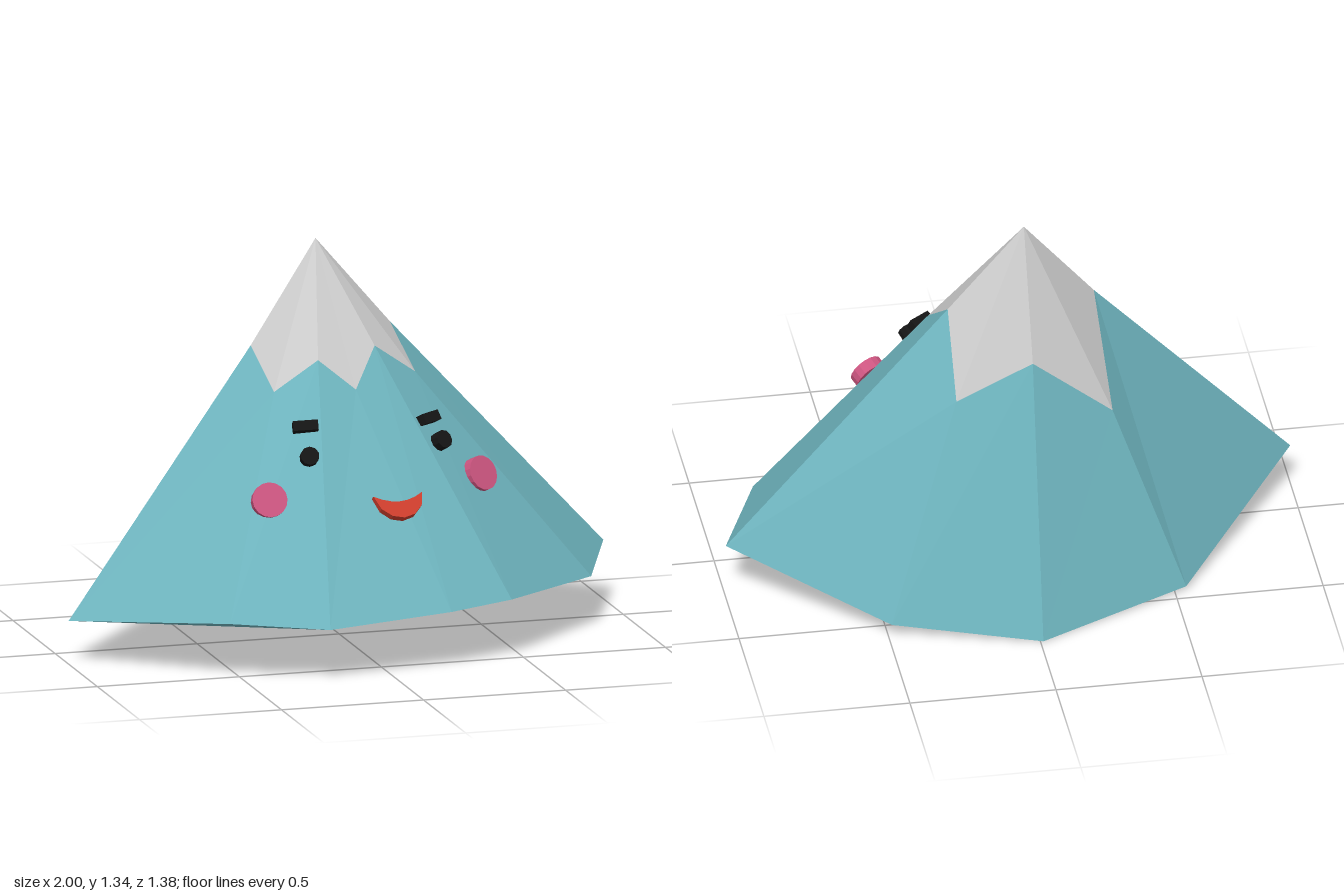
import * as THREE from 'three';

const mat = (color) => new THREE.MeshStandardMaterial({ color, flatShading: true });

// Peak, snow line and foot of the mountain, clockwise from the back as seen from above
const PEAK = [-0.03, 1.335, -0.18];
const SNOW = [
  [-0.03, 0.9, -0.36], [0.23, 0.77, -0.35], [0.23, 1.03, -0.175], [0.265, 0.895, 0.01], [0.11, 1.005, 0.05],
  [0.01, 0.885, 0.165], [-0.11, 0.985, 0.12], [-0.265, 0.885, 0.12], [-0.285, 1.0, -0.09], [-0.31, 0.66, -0.32],
];
const FOOT = [
  [-0.01, 0, -0.69], [0.49, 0.05, -0.58], [1, 0.205, -0.235], [0.84, 0.18, 0.16], [0.45, 0.21, 0.53],
  [0.21, 0.205, 0.625], [-0.235, 0.187, 0.688], [-0.55, 0.2, 0.56], [-1, 0.15, 0.16], [-0.54, 0.015, -0.45],
];

function faceted(name, triangles, material) {
  const geo = new THREE.BufferGeometry();
  geo.setAttribute('position', new THREE.Float32BufferAttribute(triangles.flat(2), 3));
  geo.computeVertexNormals();
  const mesh = new THREE.Mesh(geo, material);
  mesh.name = name;
  return mesh;
}

// Place a facial feature on the slope; its local +z points out of the slope
function feature(name, geo, material, position, yaw, pitch, roll = 0) {
  const mesh = new THREE.Mesh(geo, material);
  mesh.name = name;
  mesh.position.set(...position);
  mesh.rotation.set(-pitch, yaw, roll, 'YXZ');
  return mesh;
}

export function createModel() {
  const group = new THREE.Group();
  group.name = 'mountain';
  const n = FOOT.length;

  // Snow cap and rocky slopes
  const cap = [], slopes = [];
  for (let i = 0; i < n; i++) {
    const j = (i + 1) % n;
    cap.push([PEAK, SNOW[j], SNOW[i]]);
    slopes.push([SNOW[i], SNOW[j], FOOT[j]], [SNOW[i], FOOT[j], FOOT[i]]);
  }

  // Underside, as two fans that meet along one crease
  const fan = (hub, from, count) => {
    for (let k = from; k < from + count; k++) slopes.push([FOOT[hub], FOOT[k % n], FOOT[(k + 1) % n]]);
  };
  fan(6, 7, 4);
  fan(1, 2, 4);
  group.add(faceted('snowCap', cap, mat(0xcccccc)), faceted('slopes', slopes, mat(0x6eb4be)));

  // Face materials and shared shapes
  const black = mat(0x151515), pink = mat(0xcc5580), red = mat(0xcc3d2c);
  const disc = (radius, depth, sides) => new THREE.CylinderGeometry(radius, radius, depth, sides).rotateX(Math.PI / 2);
  const eye = disc(0.032, 0.04, 10);
  const cheek = disc(0.06, 0.04, 16);
  const brow = new THREE.BoxGeometry(0.085, 0.035, 0.045);

  group.add(
    feature('rightEye', eye, black, [-0.2, 0.7, 0.32], -0.15, 0.5),
    feature('leftEye', eye, black, [0.295, 0.7, 0.215], 0.45, 0.5),
    feature('rightBrow', brow, black, [-0.195, 0.79, 0.255], -0.2, 0.5, 0.05),
    feature('leftBrow', brow, black, [0.262, 0.767, 0.165], 0.65, 0.5),
    feature('rightCheek', cheek, pink, [-0.352, 0.567, 0.355], -0.12, 0.42),
    feature('leftCheek', cheek, pink, [0.437, 0.57, 0.195], 0.5, 0.42),
  );

  // Smiling mouth
  const smile = new THREE.Shape();
  smile.moveTo(-0.09, 0.045);
  smile.quadraticCurveTo(0, -0.01, 0.09, 0.045);
  smile.bezierCurveTo(0.08, -0.075, -0.08, -0.075, -0.09, 0.045);
  const mouth = new THREE.ExtrudeGeometry(smile, { depth: 0.035, bevelEnabled: false, curveSegments: 6 });
  mouth.translate(0, 0, -0.0175);
  group.add(feature('mouth', mouth, red, [0.09, 0.525, 0.415], 0.13, 0.72));

  return group;
}
